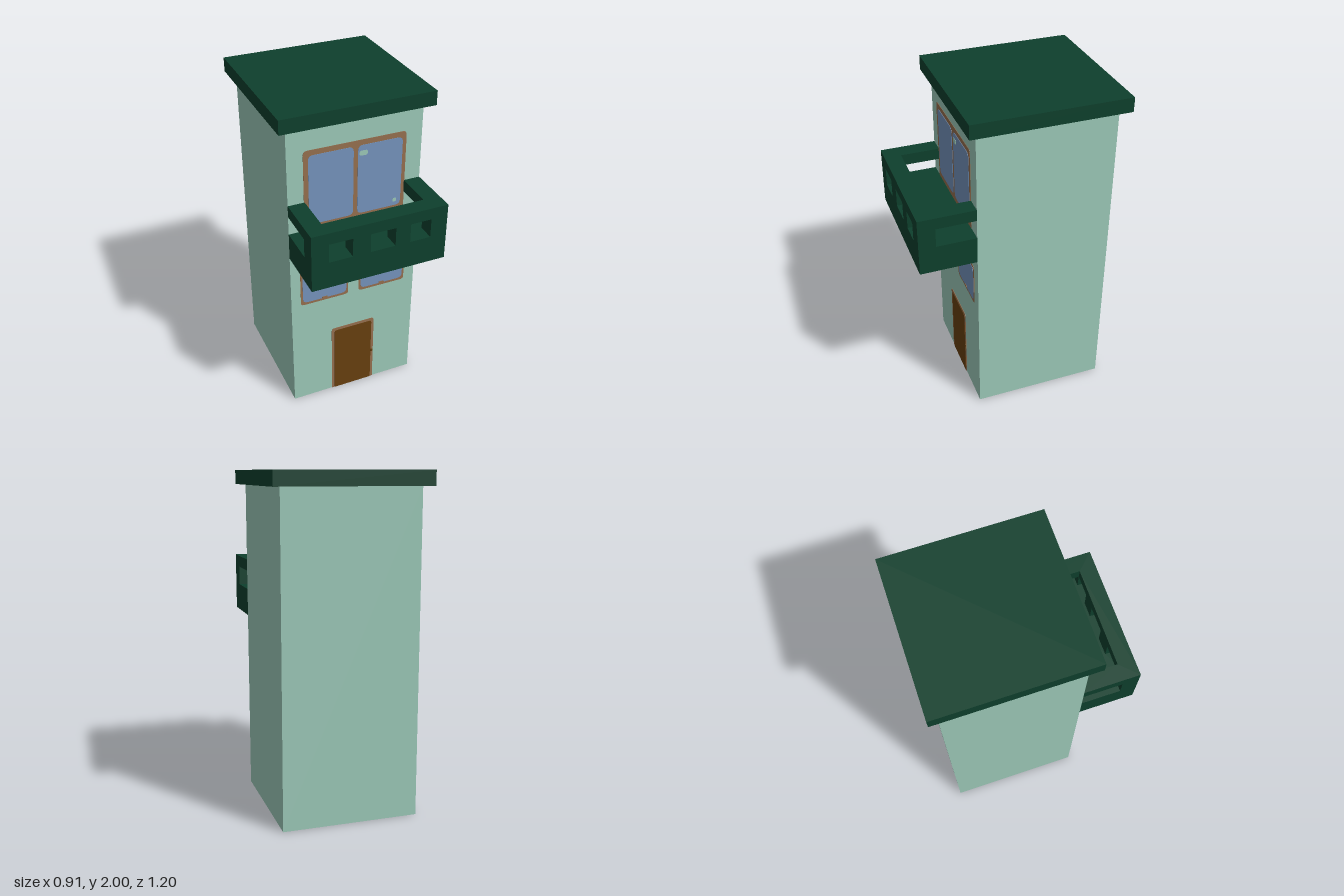
import * as THREE from 'three';

const mat = (name, color) => {
  const m = new THREE.MeshStandardMaterial({ color });
  m.name = name;
  return m;
};

export function createModel() {
  const house = new THREE.Group();
  house.name = 'townhouse';

  const wall = mat('mint wall', 0x9dcab9);
  const green = mat('dark green', 0x0e402d);
  const wood = mat('wood frame', 0x96704f);
  const glass = mat('blue glass', 0x7594bd);
  const brown = mat('door brown', 0x68400f);

  const FRONT = 0.265; // z of the front wall

  const add = (parent, name, geometry, material) => {
    const mesh = new THREE.Mesh(geometry, material);
    mesh.name = name;
    parent.add(mesh);
    return mesh;
  };

  // Box given by its limits on each axis
  const box = (parent, name, material, x0, x1, y0, y1, z0, z1) => {
    const mesh = add(parent, name, new THREE.BoxGeometry(x1 - x0, y1 - y0, z1 - z0), material);
    mesh.position.set((x0 + x1) / 2, (y0 + y1) / 2, (z0 + z1) / 2);
    return mesh;
  };

  // Thin plate on the front wall; rb and rt round the bottom and top corners
  const plate = (parent, name, material, x0, x1, y0, y1, layer, rt = 0.02, rb = rt) => {
    const s = new THREE.Shape();
    s.moveTo(x0 + rb, y0);
    s.lineTo(x1 - rb, y0);
    s.quadraticCurveTo(x1, y0, x1, y0 + rb);
    s.lineTo(x1, y1 - rt);
    s.quadraticCurveTo(x1, y1, x1 - rt, y1);
    s.lineTo(x0 + rt, y1);
    s.quadraticCurveTo(x0, y1, x0, y1 - rt);
    s.lineTo(x0, y0 + rb);
    s.quadraticCurveTo(x0, y0, x0 + rb, y0);
    const g = new THREE.ExtrudeGeometry(s, { depth: 0.002 * layer, bevelEnabled: false, curveSegments: 4 });
    add(parent, name, g, material).position.z = FRONT;
  };

  const group = (name) => {
    const g = new THREE.Group();
    g.name = name;
    house.add(g);
    return g;
  };

  // Tower with a dark underside, and the flat roof
  box(house, 'walls', [wall, wall, wall, green, wall, wall], -0.405, 0.405, 0, 1.915, -0.545, FRONT);
  box(house, 'roof', green, -0.457, 0.457, 1.915, 2, -0.6, 0.315);

  // Balcony: solid base, front posts and a U-shaped rail
  const balcony = group('balcony');
  box(balcony, 'balconyBase', green, -0.405, 0.405, 1.105, 1.27, FRONT, 0.6);
  for (const [x0, x1] of [[-0.405, -0.305], [-0.165, -0.06], [0.09, 0.18], [0.305, 0.405]]) {
    box(balcony, 'balconyPost', green, x0, x1, 1.27, 1.385, 0.5, 0.6);
  }
  const u = new THREE.Shape([
    [-0.405, -FRONT], [-0.405, -0.6], [0.405, -0.6], [0.405, -FRONT],
    [0.305, -FRONT], [0.305, -0.5], [-0.305, -0.5], [-0.305, -FRONT],
  ].map(([x, y]) => new THREE.Vector2(x, y)));
  const railGeometry = new THREE.ExtrudeGeometry(u, { depth: 0.07, bevelEnabled: false });
  railGeometry.rotateX(-Math.PI / 2);
  add(balcony, 'balconyRail', railGeometry, green).position.y = 1.385;

  // Tall balcony window with two panes and small glints
  const tall = group('balconyWindow');
  plate(tall, 'frame', wood, -0.31, 0.308, 1.27, 1.77, 1, 0.025, 0.005);
  plate(tall, 'leftPane', glass, -0.282, -0.014, 1.305, 1.738, 2, 0.03);
  plate(tall, 'rightPane', glass, 0.012, 0.285, 1.305, 1.738, 2, 0.03);
  plate(tall, 'glint', wall, 0.02, 0.07, 1.675, 1.705, 3, 0.014);
  plate(tall, 'glint', wall, 0.235, 0.258, 1.33, 1.353, 3, 0.01);

  // Pair of middle windows with small centre catches
  for (const x0 of [-0.345, 0.03]) {
    const w = group('middleWindow');
    plate(w, 'frame', wood, x0, x0 + 0.306, 0.745, 1.016, 1);
    plate(w, 'pane', glass, x0 + 0.013, x0 + 0.293, 0.762, 1.002, 2, 0.03);
    for (const y of [0.76, 0.99]) plate(w, 'catch', wood, x0 + 0.135, x0 + 0.17, y, y + 0.013, 3, 0.005);
  }

  // Front door with a frame and knob
  const door = group('frontDoor');
  plate(door, 'frame', wood, -0.147, 0.141, 0, 0.497, 1, 0.02, 0);
  plate(door, 'panel', brown, -0.128, 0.124, 0, 0.478, 2, 0.015, 0);
  plate(door, 'knob', brown, 0.122, 0.138, 0.22, 0.238, 3, 0.006);

  return house;
}
